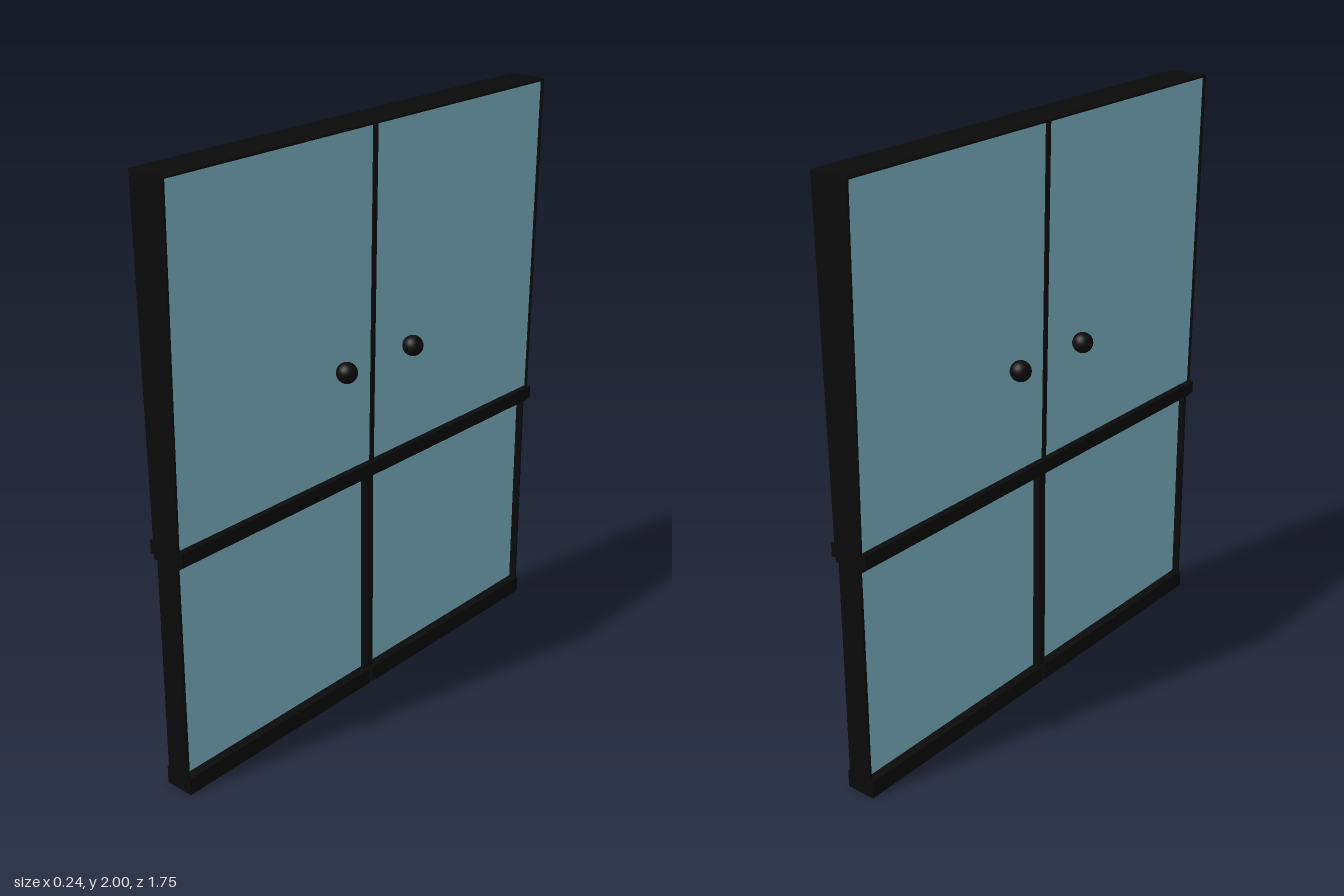
import * as THREE from 'three';

const black = new THREE.MeshStandardMaterial({ color: 0x0b0b0b });
const blue = new THREE.MeshStandardMaterial({ color: 0x8ccadc });

export function createModel() {
  const model = new THREE.Group();
  model.name = 'doubleDoor';
  const body = new THREE.Group();
  body.name = 'doorBody';
  body.position.x = -0.004;
  model.add(body);

  function add(parent, name, geometry, material) {
    const mesh = new THREE.Mesh(geometry, material);
    mesh.name = name;
    parent.add(mesh);
    return mesh;
  }

  // Box given by half thickness and its z and y ranges
  function slab(half, z0, z1, y0, y1) {
    return new THREE.BoxGeometry(half * 2, y1 - y0, z1 - z0)
      .translate(0, (y0 + y1) / 2, (z0 + z1) / 2);
  }

  // Rectangular frame in the z-y plane with a bevelled rim, extruded through x
  function frame(half, z0, z1, y0, y1, inner, outer, bottom, top) {
    const rect = (C, a, b, c, d) => {
      const p = new C();
      p.moveTo(a, c); p.lineTo(b, c); p.lineTo(b, d); p.lineTo(a, d); p.closePath();
      return p;
    };
    const bevel = 0.003;
    const shape = rect(THREE.Shape, z0, z1, y0, y1);
    shape.holes.push(rect(THREE.Path, z0 + inner, z1 - outer, y0 + bottom, y1 - top));
    return new THREE.ExtrudeGeometry(shape, {
      depth: 2 * (half - bevel), bevelEnabled: true, bevelSegments: 1,
      bevelThickness: bevel, bevelSize: bevel, bevelOffset: -bevel,
    }).translate(0, 0, -(half - bevel)).rotateY(-Math.PI / 2);
  }

  // Upper parts grow thicker towards the top
  function taper(geometry) {
    const p = geometry.attributes.position;
    for (let i = 0; i < p.count; i++) {
      const t = (p.getY(i) - 0.86) / 1.14;
      p.setX(i, p.getX(i) * THREE.MathUtils.lerp(0.055 / 0.07, 1, t));
    }
    geometry.computeVertexNormals();
    return geometry;
  }

  for (const side of [1, -1]) {
    const leaf = new THREE.Group();
    leaf.name = side > 0 ? 'frontLeaf' : 'backLeaf';
    // The two leaves are the same, turned half way round
    if (side < 0) leaf.rotation.y = Math.PI;
    body.add(leaf);

    add(leaf, 'upperFrame', taper(frame(0.07, 0, 0.876, 0.84, 2, 0.009, 0.009, 0.02, 0.009)), black);
    add(leaf, 'upperPanel', taper(slab(0.061, 0.005, 0.87, 0.85, 1.994)), blue);
    add(leaf, 'lowerFrame', frame(0.045, 0, 0.873, 0.05, 0.82, 0.018, 0.012, 0.01, 0.01), black);
    add(leaf, 'lowerPanel', slab(0.02, 0.01, 0.868, 0.055, 0.815), blue);
    add(leaf, 'kickRail', slab(0.052, 0.006, 0.87, 0, 0.06), black);
    add(leaf, 'middleRail', slab(0.07, 0, 0.873, 0.822, 0.866), black);
    add(leaf, 'railStep', slab(0.055, 0, 0.873, 0.807, 0.824), black);

    // A round knob on each face of the leaf
    for (const face of [1, -1]) {
      add(model, 'knob', new THREE.SphereGeometry(0.035, 24, 16), black)
        .position.set(face * 0.086 - 0.002, 1.232, side * 0.163);
    }
  }
  return model;
}
